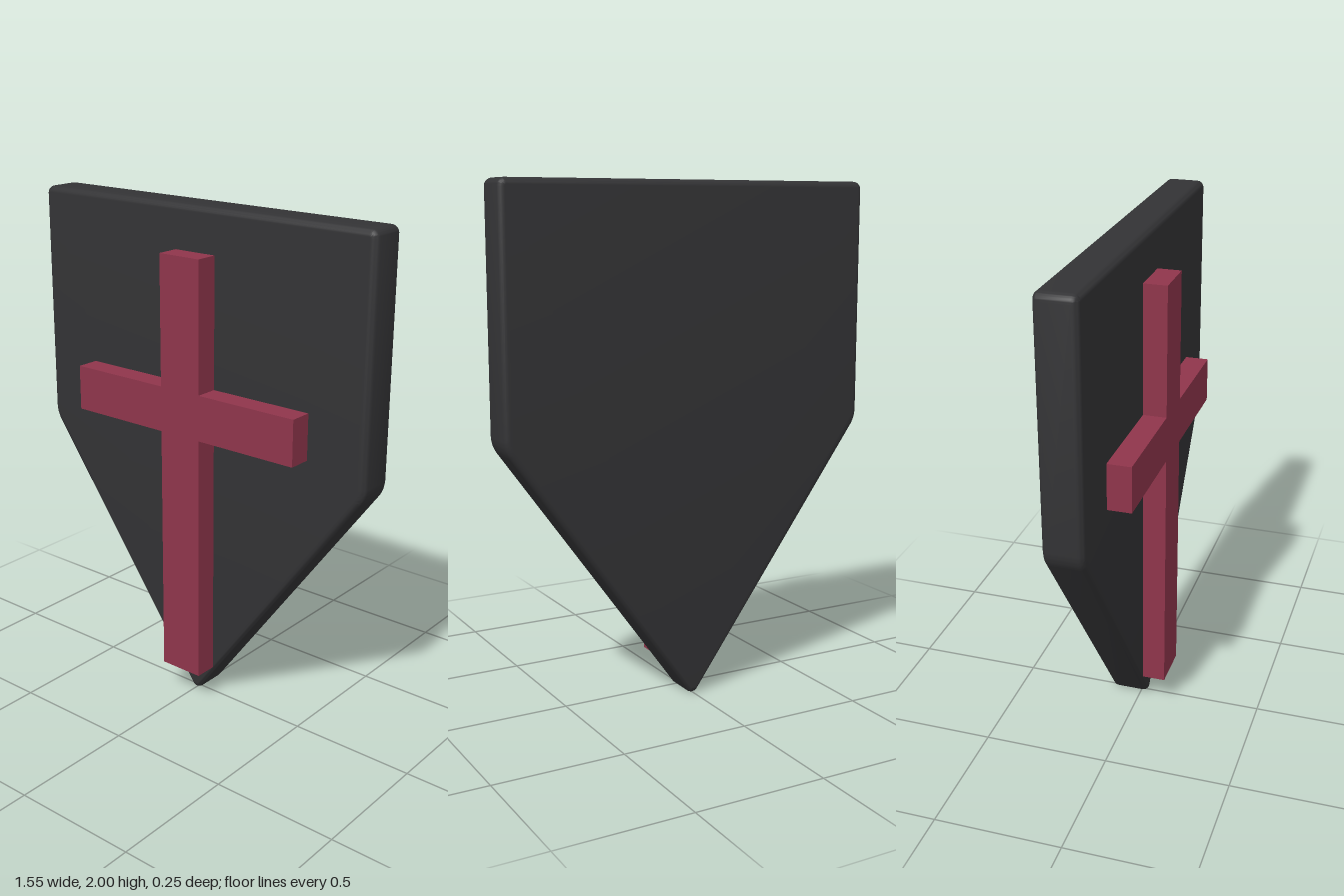
import * as THREE from 'three';
import { toCreasedNormals } from 'three/addons/utils/BufferGeometryUtils.js';

const HALF_W = 0.773, TOP = 2, BACK = -0.125, FACE = 0.03, CROSS_FRONT = 0.122;
const BEVEL = 0.024;

function mesh(name, geometry, color) {
  const m = new THREE.Mesh(geometry, new THREE.MeshStandardMaterial({ color }));
  m.name = name;
  return m;
}

// Pointed plate: rounded pentagon, grown outward by a round bevel
function shieldPlate() {
  const a = 0.627;                                   // tilt of the lower edges' normals
  const tipR = 0.027, sideR = 0.12, topR = 0.03;     // outer corner radii
  const d = tipR * (1 - Math.sin(a));                // distance of lower edges from the origin
  const sideX = HALF_W - sideR;
  const sideY = (Math.cos(a) * sideX + sideR - d) / Math.sin(a);
  const topX = HALF_W - topR, topY = TOP - topR;
  const P = Math.PI;
  const corners = [
    [0, tipR, tipR, a - P, -a],
    [sideX, sideY, sideR, -a, 0],
    [topX, topY, topR, 0, P / 2],
    [-topX, topY, topR, P / 2, P],
    [-sideX, sideY, sideR, P, P + a],
  ];
  const shape = new THREE.Shape();
  for (const [x, y, r, from, to] of corners) shape.absarc(x, y, r - BEVEL, from, to, false);
  const geometry = new THREE.ExtrudeGeometry(shape, {
    depth: FACE - BACK - 2 * BEVEL, curveSegments: 6,
    bevelSize: BEVEL, bevelThickness: BEVEL, bevelSegments: 5,
  });
  geometry.translate(0, 0, BACK + BEVEL);
  return mesh('shieldPlate', toCreasedNormals(geometry, 0.7), 0x333335);
}

// Raised cross with sharp edges on the front of the plate
function raisedCross() {
  const w = 0.0925, arm = 0.525, low = 0.13, high = 1.83, barLow = 1.14, barHigh = 1.32;
  const right = [[w, low], [w, barLow], [arm, barLow], [arm, barHigh], [w, barHigh], [w, high]];
  const left = right.map(([x, y]) => [-x, y]).reverse();
  const shape = new THREE.Shape([...right, ...left].map(([x, y]) => new THREE.Vector2(x, y)));
  const geometry = new THREE.ExtrudeGeometry(shape, { depth: CROSS_FRONT - FACE, bevelEnabled: false });
  geometry.translate(0, 0, FACE);
  return mesh('raisedCross', geometry, 0x8f354b);
}

export function createModel() {
  const group = new THREE.Group();
  group.name = 'shield';
  group.add(shieldPlate(), raisedCross());
  return group;
}
